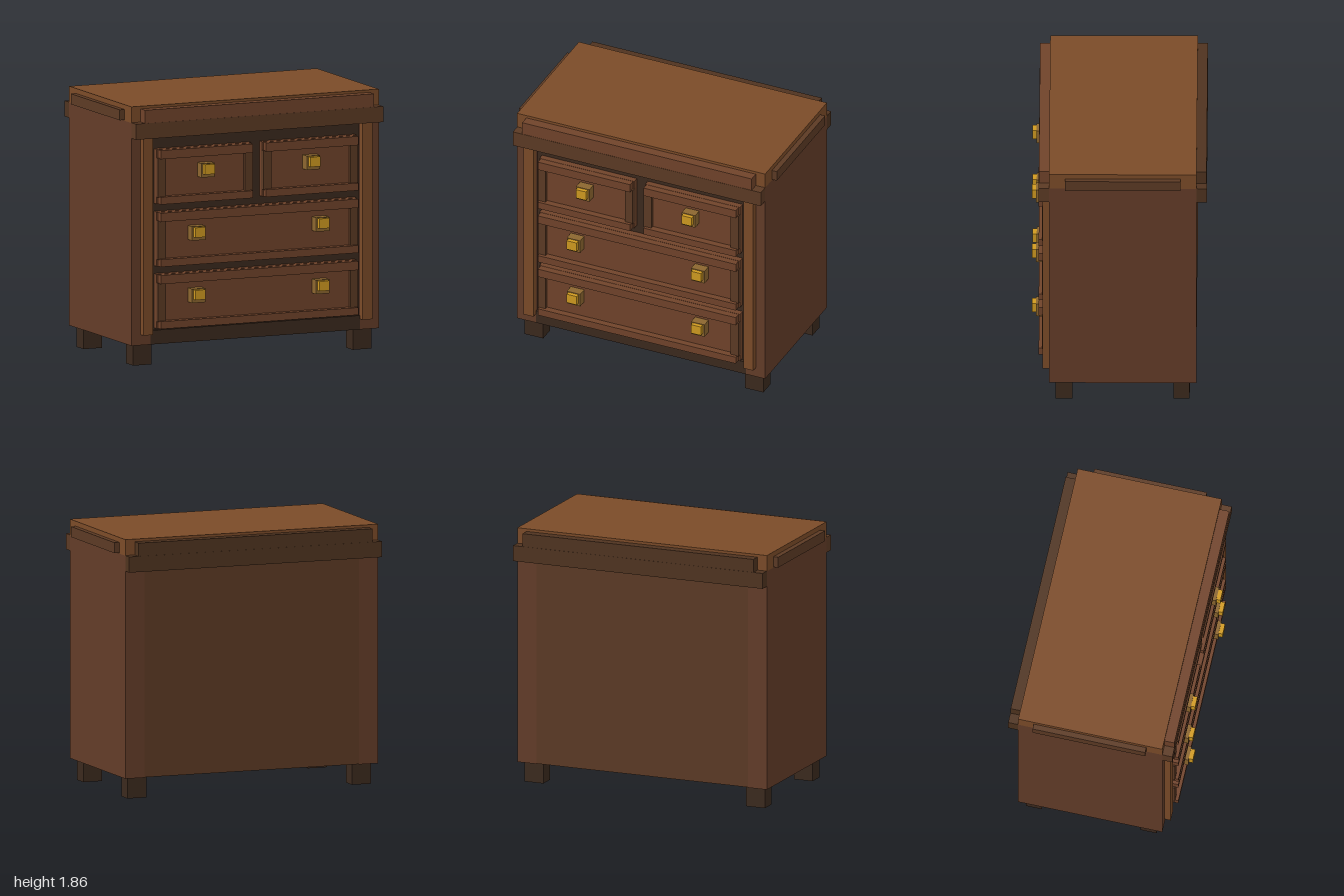
import * as THREE from 'three';

const mat = (color) => new THREE.MeshStandardMaterial({ color, flatShading: true });
const wood = mat(0x70432a), side = mat(0x633c28), light = mat(0x7b4b28), dark = mat(0x3b291d);
const trim = mat(0x5c3a24), shade = mat(0x4f331f), gold = mat(0xd09a20), brass = mat(0x8c662f);

// Box given by its extents on each axis
function box(parent, name, material, [x0, x1], [y0, y1], [z0, z1]) {
  const mesh = new THREE.Mesh(new THREE.BoxGeometry(x1 - x0, y1 - y0, z1 - z0), material);
  mesh.position.set((x0 + x1) / 2, (y0 + y1) / 2, (z0 + z1) / 2);
  mesh.name = name;
  parent.add(mesh);
}

// Same box on both sides of x = 0
function pair(parent, name, material, [x0, x1], y, z) {
  box(parent, name + 'Left', material, [x0, x1], y, z);
  box(parent, name + 'Right', material, [-x1, -x0], y, z);
}

// Drawer front with raised border and square knobs
function drawer(name, x0, x1, y0, y1, knobs, knobY) {
  const g = new THREE.Group();
  g.name = name;
  box(g, 'drawerPanel', wood, [x0, x1], [y0, y1], [0.44, 0.52]);
  box(g, 'drawerSideTrim', trim, [x0, x0 + 0.06], [y0 + 0.05, y1 - 0.06], [0.5, 0.545]);
  box(g, 'drawerSideTrim', trim, [x1 - 0.06, x1], [y0 + 0.05, y1 - 0.06], [0.5, 0.545]);
  box(g, 'drawerTopTrim', wood, [x0 + 0.01, x1 - 0.01], [y1 - 0.065, y1 - 0.002], [0.5, 0.568]);
  box(g, 'drawerBottomTrim', wood, [x0 + 0.01, x1 - 0.01], [y0 + 0.002, y0 + 0.055], [0.5, 0.568]);
  for (const x of knobs) {
    box(g, 'knobBase', brass, [x - 0.052, x + 0.052], [knobY - 0.06, knobY + 0.04], [0.5, 0.588]);
    box(g, 'knob', gold, [x - 0.039, x + 0.039], [knobY - 0.035, knobY + 0.035], [0.588, 0.618]);
  }
  return g;
}

export function createModel() {
  const chest = new THREE.Group();
  chest.name = 'chestOfDrawers';

  // Carcass
  pair(chest, 'sidePanel', side, [0.815, 0.962], [0.15, 1.74], [-0.545, 0.495]);
  box(chest, 'carcass', dark, [-0.815, 0.815], [0.151, 1.74], [-0.53, 0.475]);
  box(chest, 'backPanel', trim, [-0.815, 0.815], [0.152, 1.74], [-0.543, -0.52]);
  box(chest, 'bottomRail', dark, [-0.815, 0.815], [0.15, 0.25], [0.46, 0.495]);
  pair(chest, 'frontStile', light, [0.815, 0.89], [0.225, 1.63], [0.48, 0.54]);

  // Legs
  for (const z of [[0.33, 0.447], [-0.497, -0.383]])
    pair(chest, 'leg', dark, [0.782, 0.926], [0, 0.15], z);

  // Top with bands below and trims around it
  box(chest, 'topSlab', light, [-0.962, 0.962], [1.74, 1.855], [-0.545, 0.495]);
  box(chest, 'frontBand', trim, [-0.962, 0.962], [1.63, 1.742], [0.495, 0.568]);
  box(chest, 'backBand', shade, [-0.962, 0.962], [1.63, 1.742], [-0.618, -0.545]);
  box(chest, 'frontTopTrim', wood, [-0.89, 0.89], [1.742, 1.836], [0.495, 0.566]);
  box(chest, 'backTopTrim', shade, [-0.89, 0.89], [1.742, 1.836], [-0.616, -0.545]);
  pair(chest, 'sideTopTrim', trim, [0.962, 1], [1.745, 1.82], [-0.433, 0.38]);

  // Two small drawers over two wide ones
  chest.add(
    drawer('topDrawerRight', -0.778, -0.042, 1.153, 1.543, [-0.41], 1.39),
    drawer('topDrawerLeft', 0.042, 0.778, 1.153, 1.543, [0.41], 1.39),
    drawer('middleDrawer', -0.778, 0.778, 0.708, 1.096, [-0.482, 0.482], 0.945),
    drawer('bottomDrawer', -0.778, 0.778, 0.265, 0.652, [-0.482, 0.482], 0.5),
  );
  return chest;
}
